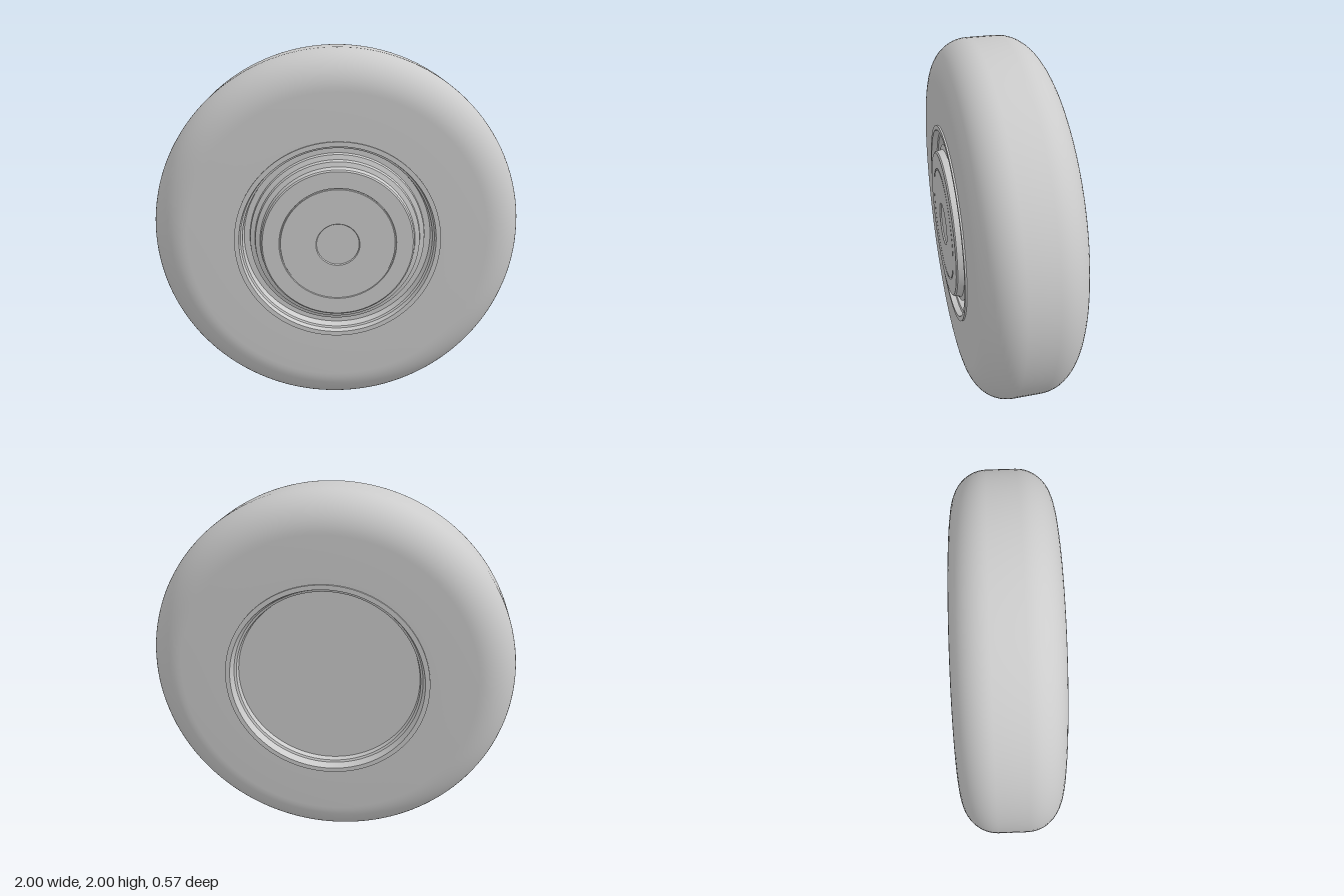
import * as THREE from 'three';
import { toCreasedNormals } from 'three/addons/utils/BufferGeometryUtils.js';

const SEGMENTS = 128;
const material = new THREE.MeshStandardMaterial({ color: 0xcccccc });

// Revolve a [radius, z] profile, listed from back to front, about the axle (z).
function revolve(name, profile) {
  const points = profile.map(([r, z]) => new THREE.Vector2(r, z));
  const geometry = new THREE.LatheGeometry(points, SEGMENTS);
  geometry.rotateX(Math.PI / 2);
  const mesh = new THREE.Mesh(toCreasedNormals(geometry, 0.45), material);
  mesh.name = name;
  return mesh;
}

// Quarter-round tyre shoulder between angles from and to (0 = tread, 90 = sidewall).
function shoulder(z, side, from, to) {
  const steps = 14;
  return Array.from({ length: steps + 1 }, (_, i) => {
    const a = THREE.MathUtils.degToRad(from + ((to - from) * i) / steps);
    return [0.8 + 0.2 * Math.cos(a), z + side * 0.19 * Math.sin(a)];
  });
}

export function createModel() {
  const wheel = new THREE.Group();
  wheel.name = 'wheel';

  // Tyre: flat sidewalls, round shoulders and a narrow flat tread
  wheel.add(revolve('tyre', [
    [0.53, -0.276],
    ...shoulder(-0.086, -1, 90, 0),
    ...shoulder(0.068, 1, 0, 90),
    [0.53, 0.258],
  ]));

  // Back of the rim: recessed flat disc, stepped wall and flange
  wheel.add(revolve('backRim', [
    [0, -0.21], [0.495, -0.21], [0.5, -0.24], [0.512, -0.245],
    [0.525, -0.286], [0.55, -0.286], [0.55, -0.26],
  ]));

  // Front of the rim: flange and wall falling into the channel round the hubcap
  wheel.add(revolve('frontRim', [
    [0.55, 0.24], [0.55, 0.267], [0.525, 0.267],
    [0.52, 0.235], [0.51, 0.23], [0.505, 0.18], [0.44, 0.18],
  ]));

  // Stepped hubcap with a fine groove and a shallow centre recess
  wheel.add(revolve('hubcap', [
    [0.475, 0.175], [0.47, 0.205], [0.445, 0.212], [0.44, 0.238],
    [0.415, 0.245], [0.408, 0.279], [0.4, 0.286],
    [0.312, 0.286], [0.31, 0.279], [0.306, 0.279], [0.304, 0.286],
    [0.117, 0.286], [0.113, 0.278], [0, 0.278],
  ]));

  wheel.position.y = 1;
  const model = new THREE.Group();
  model.add(wheel);
  return model;
}
